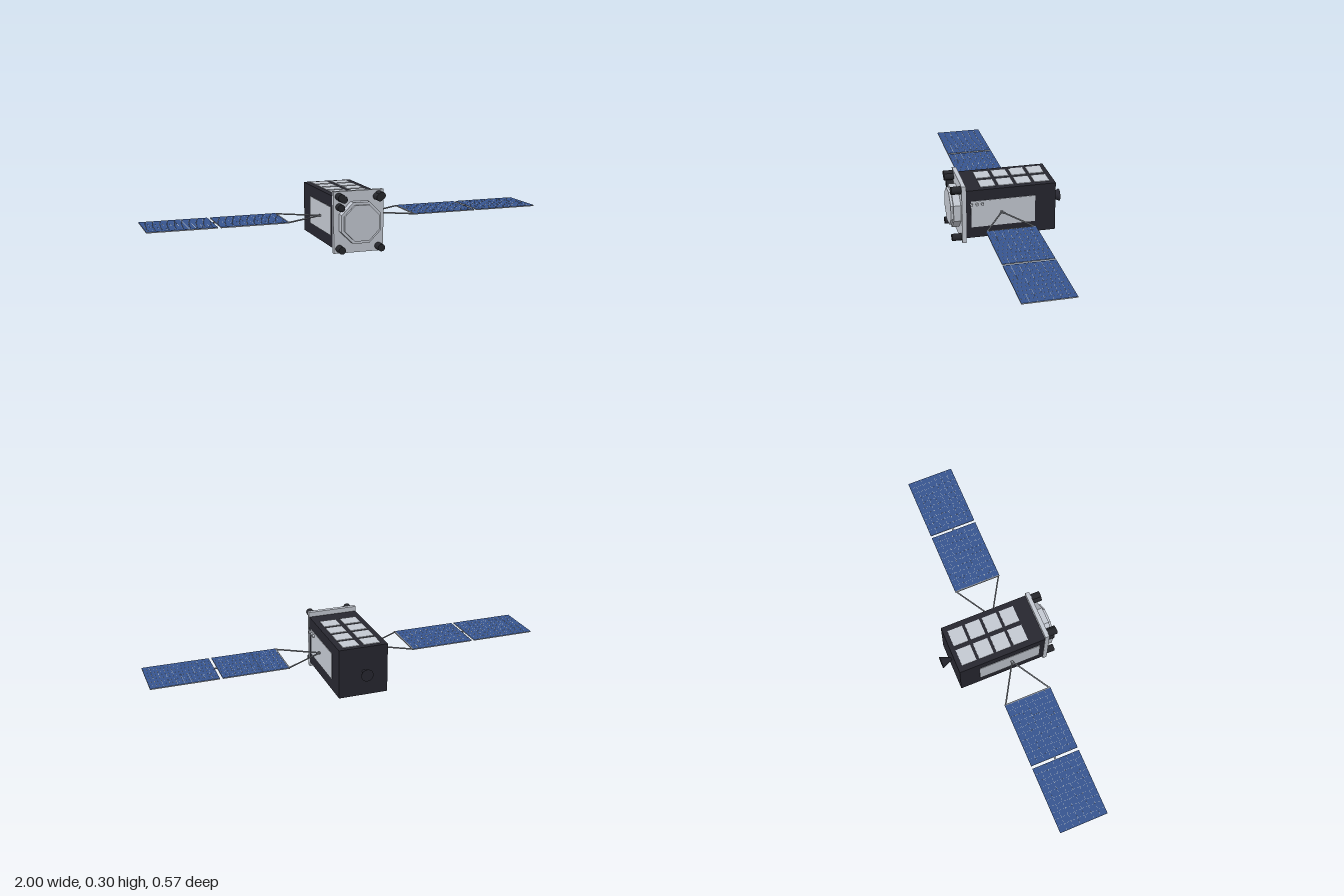
import * as THREE from 'three';

const mat = (name, color) => {
  const m = new THREE.MeshStandardMaterial({ color });
  m.name = name;
  return m;
};

export function createModel() {
  const root = new THREE.Group();
  root.name = 'satellite';
  const dark = mat('dark insulation', 0x272730);
  const grey = mat('light grey metal', 0xc4c9d2);
  const blue = mat('solar cell blue', 0x375590);
  const cream = mat('cell grid cream', 0xf0ead2);
  const rodMat = mat('strut grey', 0x8c9097);
  const black = mat('thruster black', 0x25262b);
  const CY = 0.15, PZ = 0.042;

  const add = (name, geo, material, x, y, z, parent = root) => {
    const m = new THREE.Mesh(geo, material);
    m.name = name;
    m.position.set(x, y, z);
    parent.add(m);
    return m;
  };
  // box given by its min and max corners
  const box = (name, material, x0, x1, y0, y1, z0, z1, parent) =>
    add(name, new THREE.BoxGeometry(x1 - x0, y1 - y0, z1 - z0), material,
      (x0 + x1) / 2, (y0 + y1) / 2, (z0 + z1) / 2, parent);
  // cylinder lying along z
  const barrel = (name, material, r, x, y, z0, z1) =>
    add(name, new THREE.CylinderGeometry(r, r, z1 - z0, 20).rotateX(Math.PI / 2),
      material, x, y, (z0 + z1) / 2);
  const rod = (name, a, b, r, parent) => {
    const d = b.clone().sub(a);
    const m = add(name, new THREE.CylinderGeometry(r, r, d.length(), 8), rodMat, 0, 0, 0, parent);
    m.position.copy(a).addScaledVector(d, 0.5);
    m.quaternion.setFromUnitVectors(new THREE.Vector3(0, 1, 0), d.normalize());
  };

  // main body and front plate
  box('body', dark, -0.125, 0.125, 0.024, 0.276, -0.232, 0.218);
  box('frontPlate', grey, -0.127, 0.127, 0, 0.301, 0.218, 0.239);

  // stepped octagonal front instrument
  for (const [half, z0, z1] of [[0.1, 0.239, 0.275], [0.087, 0.275, 0.287]]) {
    const r = half / Math.cos(Math.PI / 8);
    const g = new THREE.CylinderGeometry(r, r, z1 - z0, 8)
      .rotateY(Math.PI / 8).rotateX(Math.PI / 2).toNonIndexed();
    g.computeVertexNormals();
    add('octagonInstrument', g, grey, 0, CY, (z0 + z1) / 2);
  }

  // thruster barrels on the front plate
  for (const s of [-1, 1]) {
    barrel('upperThruster', black, 0.018, s * 0.102, 0.277, 0.239, 0.287);
    barrel('upperThruster', black, 0.018, s * 0.091, 0.268, 0.239, 0.287);
    barrel('lowerThruster', black, 0.018, s * 0.1, 0.023, 0.239, 0.287);
  }
  barrel('sideThruster', black, 0.018, -0.1, 0.226, 0.239, 0.275);

  // radiator tiles on top and bottom
  for (let row = 0; row < 4; row++) {
    const z = 0.101 - row * 0.0905;
    for (const x of [-0.0535, 0.0535]) for (const y of [0.2775, 0.0225])
      box('radiatorTile', grey, x - 0.0425, x + 0.0425, y - 0.0015, y + 0.0015, z - 0.038, z + 0.038);
  }

  // rear engine cone
  add('engineCone', new THREE.CylinderGeometry(0.031, 0.007, 0.054, 28).rotateX(-Math.PI / 2),
    dark, 0, 0.151, -0.259);

  // small sensors on the left side
  for (const z of [0.192, 0.165, 0.138])
    add('sideSensor', new THREE.CylinderGeometry(0.007, 0.007, 0.012, 12).rotateZ(Math.PI / 2),
      grey, 0.132, 0.204, z);

  // side panels and solar wings, mirrored
  for (const s of [-1, 1]) {
    const wing = new THREE.Group();
    wing.name = s > 0 ? 'leftWing' : 'rightWing';
    root.add(wing);
    const span = (name, m, a, b, y0, y1, z0, z1) =>
      box(name, m, Math.min(s * a, s * b), Math.max(s * a, s * b), y0, y1, z0, z1, wing);

    span('sidePanel', grey, 0.124, 0.1275, 0.081, 0.22, -0.128, 0.193);
    span('wingMount', rodMat, 0.127, 0.14, 0.146, 0.156, PZ - 0.006, PZ + 0.006);

    // V-shaped struts
    for (const e of [-1, 1])
      rod('wingStrut', new THREE.Vector3(s * 0.13, 0.151, PZ),
        new THREE.Vector3(s * 0.328, 0.151, PZ + e * 0.118), 0.0038, wing);
    span('innerBar', rodMat, 0.323, 0.329, 0.148, 0.154, PZ - 0.122, PZ + 0.122);
    span('panelHinge', rodMat, 0.65, 0.675, 0.148, 0.153, PZ - 0.004, PZ + 0.004);

    for (const [a, b] of [[0.327, 0.655], [0.669, 1]]) {
      span('panelBack', grey, a, b, 0.148, 0.1528, PZ - 0.122, PZ + 0.122);
      span('solarCells', blue, a, b, 0.1528, 0.1533, PZ - 0.122, PZ + 0.122);
      span('panelSpar', grey, a, b, 0.1465, 0.148, PZ - 0.002, PZ + 0.002);
      // thin grid between the cells
      for (let i = 1; i < 10; i++) {
        const x = a + (b - a) * i / 10;
        span('cellLine', cream, x - 0.00025, x + 0.00025, 0.1533, 0.1536, PZ - 0.122, PZ + 0.122);
      }
      for (let i = 1; i < 7; i++) {
        const z = PZ - 0.122 + 0.244 * i / 7;
        span('cellLine', cream, a, b, 0.1533, 0.1536, z - 0.00025, z + 0.00025);
      }
    }
  }
  return root;
}
